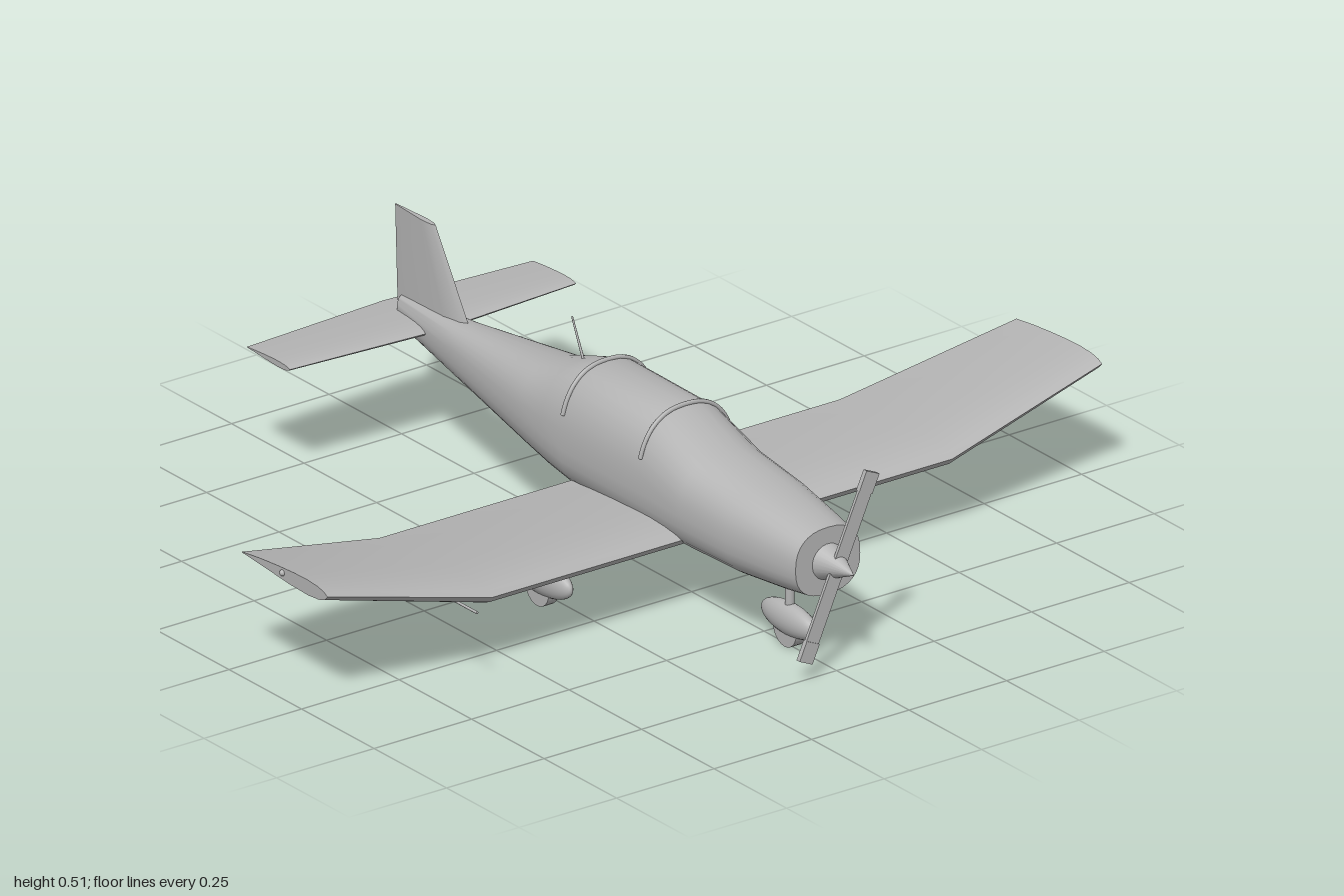
import * as THREE from 'three';
import { toCreasedNormals } from 'three/addons/utils/BufferGeometryUtils.js';

const grey = new THREE.MeshStandardMaterial({ color: 0xb4b4b4 });
grey.name = 'light grey';

// Skin a list of closed rings, with both ends capped
function loft(rings, crease = 0.6) {
  const n = rings[0].length, last = (rings.length - 1) * n;
  const pos = rings.flat(2), index = [];
  for (let r = 0; r < rings.length - 1; r++) {
    for (let j = 0; j < n; j++) {
      const k = (j + 1) % n, a = r * n + j, b = r * n + k;
      index.push(a, b, b + n, a, b + n, a + n);
    }
  }
  for (let j = 1; j < n - 1; j++) index.push(0, j + 1, j, last, last + j, last + j + 1);
  const g = new THREE.BufferGeometry();
  g.setAttribute('position', new THREE.Float32BufferAttribute(pos, 3));
  g.setIndex(index);
  return toCreasedNormals(g, crease);
}

// Cylinder between two points
function rod(a, b, r, r2 = r) {
  const p = new THREE.Vector3(...a), d = new THREE.Vector3(...b).sub(p);
  const g = new THREE.CylinderGeometry(r2, r, d.length(), 12);
  g.applyQuaternion(new THREE.Quaternion().setFromUnitVectors(new THREE.Vector3(0, 1, 0), d.clone().normalize()));
  return g.translate(...p.addScaledVector(d, 0.5).toArray());
}

// Body stations: z, bottom, widest height, top, half width
const stations = [
  [-0.745, 0.25, 0.285, 0.318, 0.016],
  [-0.52, 0.212, 0.275, 0.332, 0.05],
  [-0.21, 0.166, 0.26, 0.366, 0.1],
  [-0.12, 0.152, 0.255, 0.396, 0.112],
  [-0.04, 0.144, 0.25, 0.42, 0.12],
  [0.23, 0.142, 0.25, 0.416, 0.122],
  [0.37, 0.144, 0.245, 0.363, 0.121],
  [0.52, 0.146, 0.24, 0.345, 0.113],
  [0.66, 0.157, 0.237, 0.323, 0.094],
  [0.72, 0.164, 0.236, 0.314, 0.083],
];
function bodyPoint([z, bottom, mid, top, w], angle, grow = 0) {
  const c = Math.cos(angle), s = Math.sin(angle);
  const x = Math.sign(c) * Math.abs(c) ** 0.82 * (w + grow);
  const h = s > 0 ? top - mid : mid - bottom;
  return [x, mid + Math.sign(s) * Math.abs(s) ** 0.82 * (h + grow), z];
}

// Aerofoil ring at x: chord fraction from the nose and height, ordered tail, top, nose, bottom
const foil = [[1, 0.04], [0.8, 0.45], [0.6, 0.74], [0.4, 0.94], [0.25, 1], [0.12, 0.86], [0.04, 0.58],
  [0, 0.2], [0.03, -0.35], [0.1, -0.72], [0.22, -0.9], [0.45, -0.78], [0.75, -0.35], [1, -0.04]];
const section = (x, y, front, back, half) =>
  foil.map(([c, h]) => [x, y + h * half, front + (back - front) * c]);

export function createModel() {
  const model = new THREE.Group();
  const add = (name, geometry, parent = model) => {
    const m = new THREE.Mesh(geometry, grey);
    m.name = name;
    parent.add(m);
    return m;
  };

  add('fuselage', loft(stations.map((s) =>
    Array.from({ length: 32 }, (_, i) => bodyPoint(s, i / 32 * Math.PI * 2)))));

  // Canopy hoops following the body skin
  for (const s of [stations[4], stations[5]]) {
    const pts = Array.from({ length: 21 }, (_, i) =>
      new THREE.Vector3(...bodyPoint(s, THREE.MathUtils.lerp(0.38, Math.PI - 0.38, i / 20), 0.002)));
    add('canopyHoop', new THREE.TubeGeometry(new THREE.CatmullRomCurve3(pts), 40, 0.005, 6));
  }

  // Wing: level centre section with raised, tapered outer panels
  add('wing', loft([
    section(-0.993, 0.277, 0.33, 0.035, 0.018),
    section(-0.59, 0.177, 0.356, -0.033, 0.027),
    section(0.59, 0.177, 0.356, -0.033, 0.027),
    section(0.993, 0.277, 0.33, 0.035, 0.018),
  ], 0.5));
  for (const side of [-1, 1]) {
    add('wingTipLight', new THREE.SphereGeometry(0.007, 10, 8)).position.set(side * 0.993, 0.28, 0.175);
  }

  add('tailplane', loft([
    section(-0.367, 0.28, -0.642, -0.79, 0.007),
    section(0, 0.28, -0.618, -0.812, 0.011),
    section(0.367, 0.28, -0.642, -0.79, 0.007),
  ], 0.5));

  // Upright fin, swept at the front
  const finRing = (y, front, back, half) =>
    [[0, 0], [0.08, 0.7], [0.3, 1], [1, 0.2], [1, -0.2], [0.3, -1], [0.08, -0.7]]
      .map(([c, h]) => [h * half, y, front + (back - front) * c]);
  add('tailFin', loft([
    finRing(0.3, -0.5, -0.76, 0.012),
    finRing(0.335, -0.522, -0.762, 0.012),
    finRing(0.513, -0.632, -0.77, 0.007),
  ]));

  // Propeller and pointed hub
  const propeller = new THREE.Group();
  propeller.name = 'propeller';
  propeller.position.set(0, 0.237, 0.755);
  propeller.rotation.z = -0.42;
  model.add(propeller);
  add('spinner', new THREE.ConeGeometry(0.042, 0.095, 24).rotateX(Math.PI / 2).translate(0, 0, 0.008), propeller);
  for (const side of [-1, 1]) {
    const blade = new THREE.BoxGeometry(0.034, 0.205, 0.007).translate(0, 0.105, 0);
    const tip = new THREE.BoxGeometry(0.036, 0.045, 0.011).translate(0, 0.188, 0);
    for (const [name, g] of [['blade', blade], ['bladeTip', tip]]) {
      add(name, g, propeller).rotation.z = side < 0 ? Math.PI : 0;
    }
  }

  // Landing gear: strut, streamlined fairing and wheel
  const gear = (name, x, z, y, length, height) => {
    const group = new THREE.Group();
    group.name = name;
    model.add(group);
    add('strut', rod([x, y, z], [x, 0.17, z], 0.01), group);
    const pod = new THREE.SphereGeometry(1, 24, 16).rotateX(Math.PI / 2);
    add('wheelFairing', pod.scale(0.026, height, length).translate(x, y, z), group);
    const wheel = new THREE.CylinderGeometry(0.04, 0.04, 0.026, 24).rotateZ(Math.PI / 2);
    add('wheel', wheel.translate(x, 0.042, z), group);
  };
  gear('noseGear', 0, 0.588, 0.062, 0.092, 0.036);
  for (const side of [-1, 1]) gear('mainGear', side * 0.285, 0.118, 0.067, 0.102, 0.041);

  // Small fittings
  add('exhaust', rod([0.07, 0.155, 0.62], [0.07, 0.128, 0.54], 0.009));
  add('antenna', rod([0, 0.385, -0.12], [0, 0.475, -0.162], 0.003, 0.002));
  add('airspeedProbe', rod([-0.665, 0.185, 0.3], [-0.665, 0.185, 0.405], 0.003));
  return model;
}
